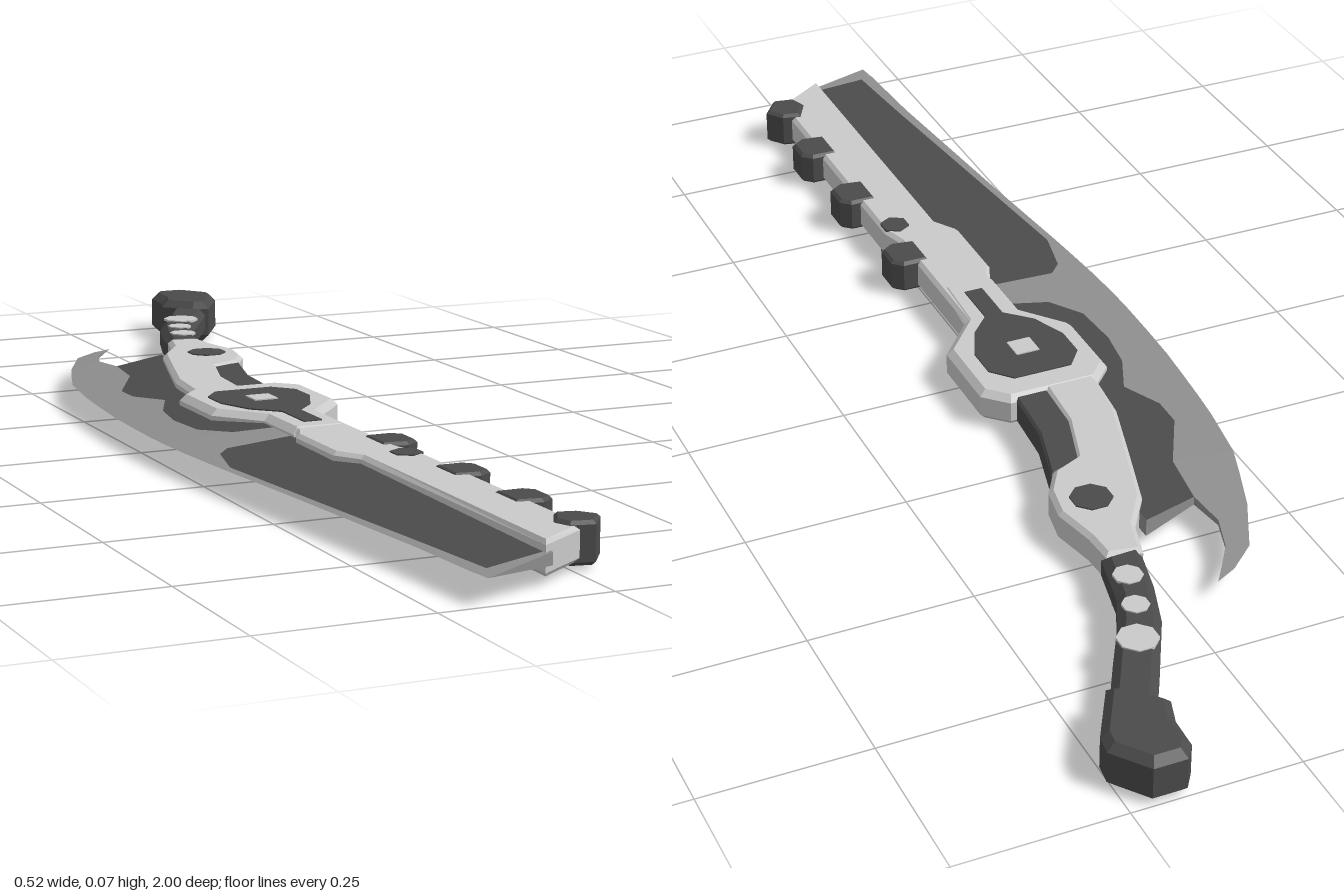
import * as THREE from 'three';

const MID = 0.037; // height of the blade's middle plane

export function createModel() {
  const model = new THREE.Group();
  const paint = (name, color) => {
    const m = new THREE.MeshStandardMaterial({ color });
    m.name = name;
    return m;
  };
  const light = paint('lightMetal', 0xcacaca);
  const grey = paint('edgeSteel', 0x8e8e8e);
  const dark = paint('darkMetal', 0x4b4b4b);
  grey.side = dark.side = THREE.DoubleSide;

  const add = (name, geometry, material) => {
    const mesh = new THREE.Mesh(geometry, material);
    mesh.name = name;
    model.add(mesh);
    return mesh;
  };

  // Bevelled slab with an outline in [x, z], from y0 to y1
  const slabGeometry = (pts, y0, y1, bevel) => {
    const shape = new THREE.Shape(pts.map(([x, z]) => new THREE.Vector2(x, -z)));
    const g = new THREE.ExtrudeGeometry(shape, {
      depth: y1 - y0 - 2 * bevel, bevelEnabled: bevel > 0, bevelSize: bevel,
      bevelThickness: bevel, bevelOffset: -bevel, bevelSegments: 1,
    });
    return g.rotateX(-Math.PI / 2).translate(0, y0 + bevel, 0);
  };
  const slab = (name, pts, half, bevel, material) =>
    add(name, slabGeometry(pts, MID - half, MID + half, bevel), material);

  // Thin inlay on both the upper and lower faces
  const inlay = (name, pts, half, material) => {
    for (const s of [1, -1]) {
      const y = MID + s * half;
      add(name + (s > 0 ? 'Top' : 'Bottom'), slabGeometry(pts, y - 0.002, y + 0.002, 0), material);
    }
  };
  const ring = (x, z, r, n) => Array.from({ length: n }, (_, i) => {
    const a = ((i + 0.5) / n) * Math.PI * 2;
    return [x + r * Math.cos(a), z + r * Math.sin(a)];
  });

  // Wedge blade: stations [outer x, outer z, panel x, inner x, inner z]
  const blade = (name, stations) => {
    const edge = [], panel = [];
    const quad = (out, a, b, c, d) => out.push(...a, ...b, ...c, ...a, ...c, ...d);
    const at = ([xo, zo, , xi, zi], x, side) => {
      const t = xi === xo ? 0 : (x - xo) / (xi - xo);
      return [x, MID + side * 0.075 * (x - xo), zo + (zi - zo) * t];
    };
    for (let i = 0; i + 1 < stations.length; i++) {
      const p = stations[i], q = stations[i + 1];
      for (const s of [1, -1]) {
        for (const [out, u, v] of [[edge, 0, 2], [panel, 2, 3]]) {
          const a = at(p, p[u], s), b = at(p, p[v], s), c = at(q, q[v], s), d = at(q, q[u], s);
          if (s > 0) quad(out, a, d, c, b);
          else quad(out, a, b, c, d);
        }
      }
      quad(edge, at(p, p[3], 1), at(q, q[3], 1), at(q, q[3], -1), at(p, p[3], -1));
    }
    const first = stations[0], last = stations[stations.length - 1];
    edge.push(...at(first, first[0], 1), ...at(first, first[3], 1), ...at(first, first[3], -1));
    edge.push(...at(last, last[0], 1), ...at(last, last[3], -1), ...at(last, last[3], 1));
    for (const [part, data, mat] of [['Edge', edge, grey], ['Panel', panel, dark]]) {
      const g = new THREE.BufferGeometry();
      g.setAttribute('position', new THREE.Float32BufferAttribute(data, 3));
      g.computeVertexNormals();
      add(name + part, g, mat);
    }
  };
  blade('blade', [
    [-0.205, -0.43, -0.113, -0.02, -0.495],
    [-0.225, -0.37, -0.125, -0.02, -0.37],
    [-0.24, -0.27, -0.178, -0.04, -0.27],
    [-0.245, -0.22, -0.178, -0.05, -0.22],
    [-0.25, -0.16, -0.147, -0.05, -0.16],
    [-0.255, -0.09, -0.178, -0.05, -0.09],
    [-0.257, -0.02, -0.188, -0.05, -0.02],
    [-0.258, 0.06, -0.182, -0.05, 0.06],
    [-0.257, 0.11, -0.145, -0.05, 0.11],
    [-0.256, 0.13, -0.05, -0.05, 0.13],
    [-0.253, 0.185, -0.05, -0.05, 0.185],
    [-0.252, 0.195, -0.19, -0.05, 0.195],
    [-0.25, 0.22, -0.212, -0.05, 0.22],
    [-0.243, 0.3, -0.23, -0.05, 0.3],
    [-0.222, 0.5, -0.209, -0.06, 0.5],
    [-0.192, 0.82, -0.175, -0.06, 0.82],
    [-0.184, 0.965, -0.162, -0.06, 0.93],
    [-0.183, 0.97, -0.06, -0.06, 0.935],
    [-0.18, 0.998, -0.06, -0.06, 0.945],
  ]);
  // Hooked horn at the back of the blade
  blade('horn', [
    [-0.055, -0.65, -0.055, -0.055, -0.65],
    [-0.09, -0.632, -0.075, -0.075, -0.622],
    [-0.135, -0.592, -0.102, -0.102, -0.582],
    [-0.18, -0.5, -0.12, -0.12, -0.525],
    [-0.205, -0.43, -0.113, -0.113, -0.462],
  ]);

  // Spine, hub and the arm leading to the grip
  slab('spine', [[-0.082, 0.05], [-0.082, 0.2], [-0.095, 0.23], [-0.095, 0.36], [-0.07, 0.4],
    [-0.07, 0.945], [0.02, 0.885], [0.02, 0.4], [0.008, 0.36], [0.008, 0.05]], 0.0245, 0.006, light);
  slab('hub', [[-0.11, -0.145], [-0.142, -0.11], [-0.142, 0.02], [-0.085, 0.09], [-0.085, 0.2],
    [0.005, 0.2], [0.01, 0.09], [0.07, 0.02], [0.07, -0.11], [0.035, -0.145]], 0.026, 0.01, light);
  slab('upperArm', [[-0.11, -0.13], [-0.1, -0.23], [-0.068, -0.34], [-0.035, -0.45], [0.005, -0.51],
    [0.022, -0.57], [0.075, -0.56], [0.078, -0.51], [0.093, -0.44], [0.083, -0.385], [0.055, -0.34],
    [0.01, -0.32], [-0.018, -0.23], [-0.025, -0.13]], 0.025, 0.007, light);
  slab('armInsert', [[-0.03, -0.13], [-0.025, -0.23], [0.005, -0.33], [0.06, -0.345],
    [0.032, -0.24], [0.024, -0.13]], 0.021, 0.004, dark);

  // Inlays on the hub and arm
  inlay('hubInlay', [[-0.087, -0.098], [0.008, -0.098], [0.037, -0.065], [0.037, -0.012], [0.012, 0.045],
    [-0.022, 0.082], [-0.022, 0.163], [-0.052, 0.163], [-0.052, 0.082], [-0.09, 0.045],
    [-0.113, -0.012], [-0.113, -0.065]], 0.026, dark);
  inlay('hubStud', ring(-0.04, -0.023, 0.027, 4), 0.028, light);
  inlay('armStud', ring(0.035, -0.427, 0.032, 8), 0.025, dark);
  inlay('spineMark', ring(-0.003, 0.41, 0.024, 6), 0.0245, dark);

  // Row of knobs along the back of the spine
  for (const [x, z] of [[0.018, 0.32], [0.022, 0.54], [0.024, 0.715]]) {
    slab('spineKnob', [[x - 0.03, z - 0.035], [x + 0.014, z - 0.035], [x + 0.03, z - 0.02],
      [x + 0.03, z + 0.022], [x + 0.01, z + 0.036], [x - 0.03, z + 0.03]], 0.027, 0.005, dark);
  }
  slab('endKnob', [[-0.015, 0.865], [0.005, 0.828], [0.035, 0.835], [0.056, 0.862],
    [0.03, 0.897], [-0.005, 0.89]], 0.03, 0.005, dark);

  // Curved grip with rounded sides
  slab('grip', [[0.02, -0.555], [0.04, -0.64], [0.065, -0.715], [0.11, -0.8], [0.165, -0.9],
    [0.215, -0.86], [0.168, -0.775], [0.125, -0.7], [0.1, -0.645], [0.08, -0.555]], 0.0245, 0.012, dark);
  for (const [x, z, r] of [[0.068, -0.615, 0.022], [0.088, -0.68, 0.02], [0.118, -0.748, 0.03]]) {
    inlay('gripStud', ring(x, z, r, 8), 0.0245, light);
  }
  // Pommel
  slab('pommel', [[0.137, -0.885], [0.15, -0.925], [0.152, -0.975], [0.168, -0.998], [0.218, -0.998],
    [0.258, -0.945], [0.254, -0.915], [0.205, -0.83], [0.178, -0.84]], 0.036, 0.012, dark);

  return model;
}
